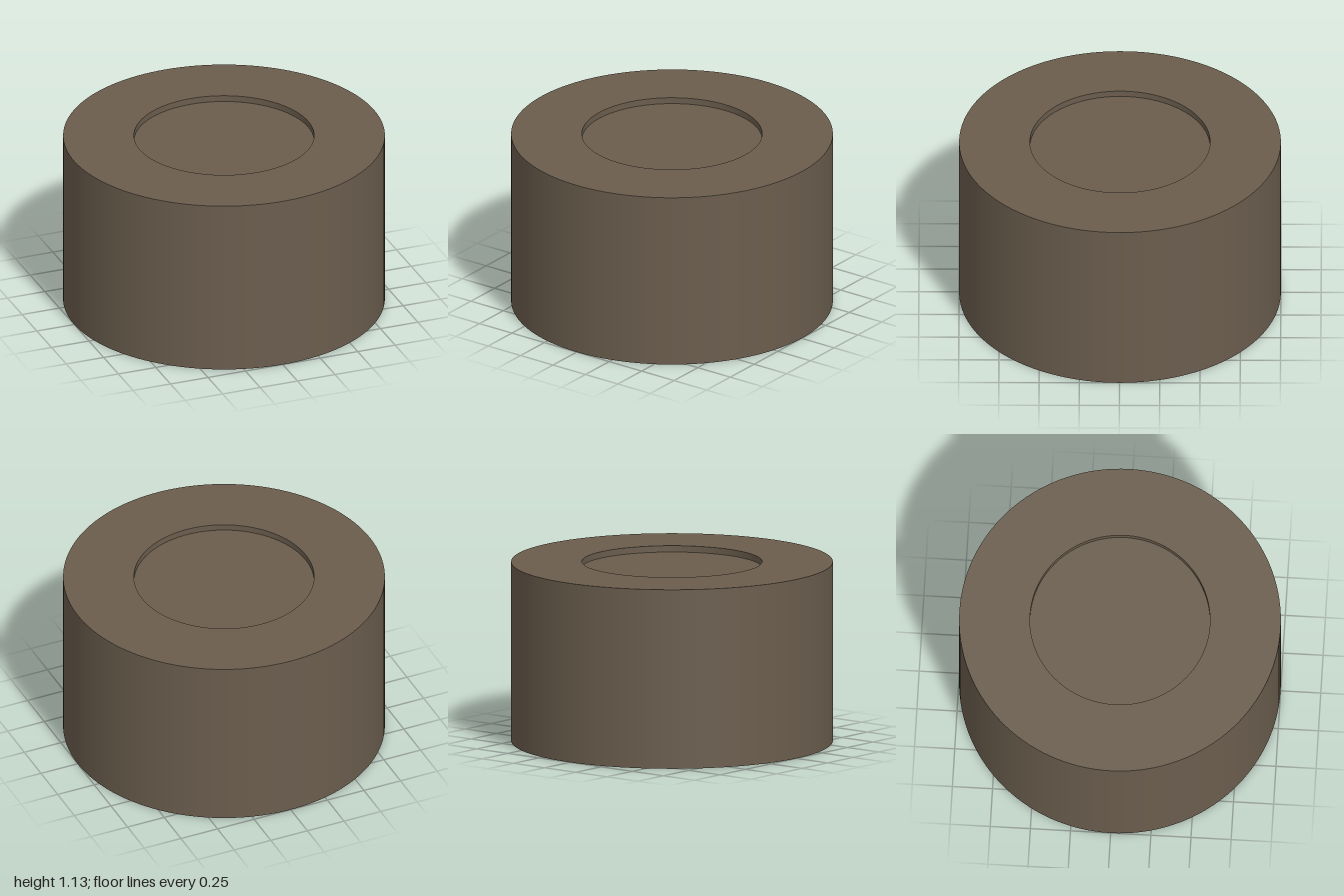
import * as THREE from 'three';

export function createModel() {
  const model = new THREE.Group();
  model.name = 'recessedDrum';

  const brown = new THREE.MeshStandardMaterial({ color: 0x6a5d4d });
  brown.name = 'dark taupe';

  const radius = 1, height = 1.13;
  const recessRadius = 0.56, recessFloor = height - 0.04;

  // Profile from the base centre, up the wall and into the recess
  const profile = [
    [0, 0],
    [radius, 0],
    [radius, height],
    [recessRadius, height],
    [recessRadius, recessFloor],
    [0, recessFloor],
  ].map(([x, y]) => new THREE.Vector2(x, y));

  // One revolved surface per straight run keeps every rim sharp
  const names = ['base', 'outerWall', 'topRim', 'recessWall', 'recessFloor'];
  names.forEach((name, i) => {
    const surface = new THREE.LatheGeometry([profile[i], profile[i + 1]], 128);
    const mesh = new THREE.Mesh(surface, brown);
    mesh.name = name;
    model.add(mesh);
  });

  return model;
}
